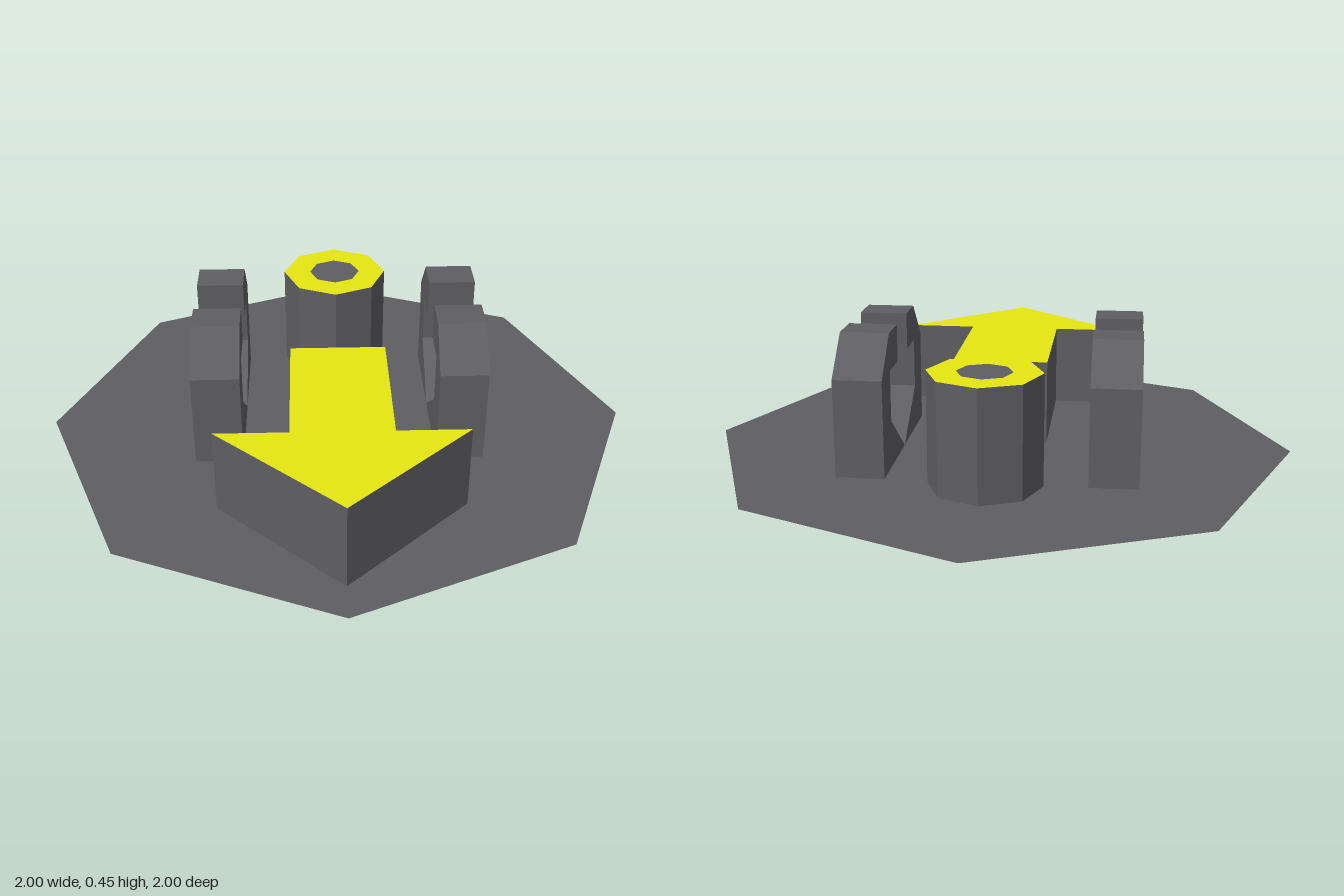
import * as THREE from 'three';

const grey = new THREE.MeshStandardMaterial({ name: 'dark grey', color: 0x5f5f63, side: THREE.DoubleSide, flatShading: true });
const yellow = new THREE.MeshStandardMaterial({ name: 'yellow', color: 0xe8e812, side: THREE.DoubleSide, flatShading: true });

const vectors = (pairs) => {
  const pts = pairs.map(([x, y]) => new THREE.Vector2(x, y));
  return THREE.ShapeUtils.isClockWise(pts) ? pts.reverse() : pts;
};

// regular polygon with corners on the axes; second coordinate is -z
const polygon = (sides, r, cz = 0) => Array.from({ length: sides }, (_, i) => {
  const a = (i / sides) * Math.PI * 2;
  return [r * Math.cos(a), r * Math.sin(a) - cz];
});

// flat face with optional holes
function face(outline, holes = []) {
  const shape = new THREE.Shape(vectors(outline));
  holes.forEach((h) => shape.holes.push(new THREE.Path(vectors(h))));
  return new THREE.ShapeGeometry(shape);
}

// side walls along an outline, leaving the ends open
function walls(outline, depth, closed = true) {
  const pts = vectors(outline);
  const pos = [];
  const count = closed ? pts.length : pts.length - 1;
  for (let i = 0; i < count; i++) {
    const a = pts[i], b = pts[(i + 1) % pts.length];
    pos.push(a.x, a.y, 0, b.x, b.y, 0, b.x, b.y, depth);
    pos.push(a.x, a.y, 0, b.x, b.y, depth, a.x, a.y, depth);
  }
  const g = new THREE.BufferGeometry();
  g.setAttribute('position', new THREE.Float32BufferAttribute(pos, 3));
  g.computeVertexNormals();
  return g;
}

function add(parent, name, geometry, material) {
  const mesh = new THREE.Mesh(geometry, material);
  mesh.name = name;
  parent.add(mesh);
  return mesh;
}

// lay a plan drawn in (x, -z) flat at height y
const flat = (geometry, y = 0) => geometry.rotateX(-Math.PI / 2).translate(0, y, 0);

export function createModel() {
  const model = new THREE.Group();
  model.name = 'launchPad';

  const arrow = [[-0.163, 0], [-0.163, -0.5], [-0.4, -0.5], [0, -0.87], [0.4, -0.5], [0.163, -0.5], [0.163, 0]];
  const post = polygon(8, 0.185, -0.42);
  const postCentre = polygon(8, 0.09, -0.42);
  const inner = 0.325, outer = 0.485;
  const slot = (s) => [[s * inner, -0.25], [s * outer, -0.25], [s * outer, 0.415], [s * inner, 0.415]];

  // thin base plate, open beneath the raised parts
  add(model, 'basePlate', flat(face(polygon(8, 1), [arrow, post, slot(1), slot(-1)])), grey);

  // raised arrow
  add(model, 'arrowSides', flat(walls(arrow, 0.29)), grey);
  add(model, 'arrowTop', flat(face(arrow), 0.29), yellow);

  // octagonal post with a ringed top
  add(model, 'postSides', flat(walls(post, 0.37)), grey);
  add(model, 'postRing', flat(face(post, [postCentre]), 0.37), yellow);
  add(model, 'postCentre', flat(face(postCentre), 0.37), grey);

  // facing pairs of claws, profile in (-z, y), open at the bottom
  const front = [[-0.25, 0], [-0.25, 0.325], [-0.125, 0.45], [0, 0.45],
    [0, 0.325], [-0.125, 0.325], [-0.125, 0.155], [0.0825, 0]];
  const back = front.map(([a, y]) => [0.165 - a, y]);
  for (const [side, x] of [['left', inner], ['right', -outer]]) {
    const clamp = new THREE.Group();
    clamp.name = side + 'Clamp';
    clamp.position.x = x;
    for (const [end, profile] of [['front', front], ['back', back]]) {
      // wall order starts and ends on the floor, so the base stays open
      add(clamp, end + 'ClawEdge', walls(profile, outer - inner, false).rotateY(Math.PI / 2), grey);
      add(clamp, end + 'ClawLeftFace', face(profile).rotateY(Math.PI / 2).translate(outer - inner, 0, 0), grey);
      add(clamp, end + 'ClawRightFace', face(profile).rotateY(-Math.PI / 2).scale(1, 1, 1), grey)
        .geometry.copy(face(profile.map(([a, y]) => [-a, y])).rotateY(-Math.PI / 2));
    }
    model.add(clamp);
  }
  return model;
}
